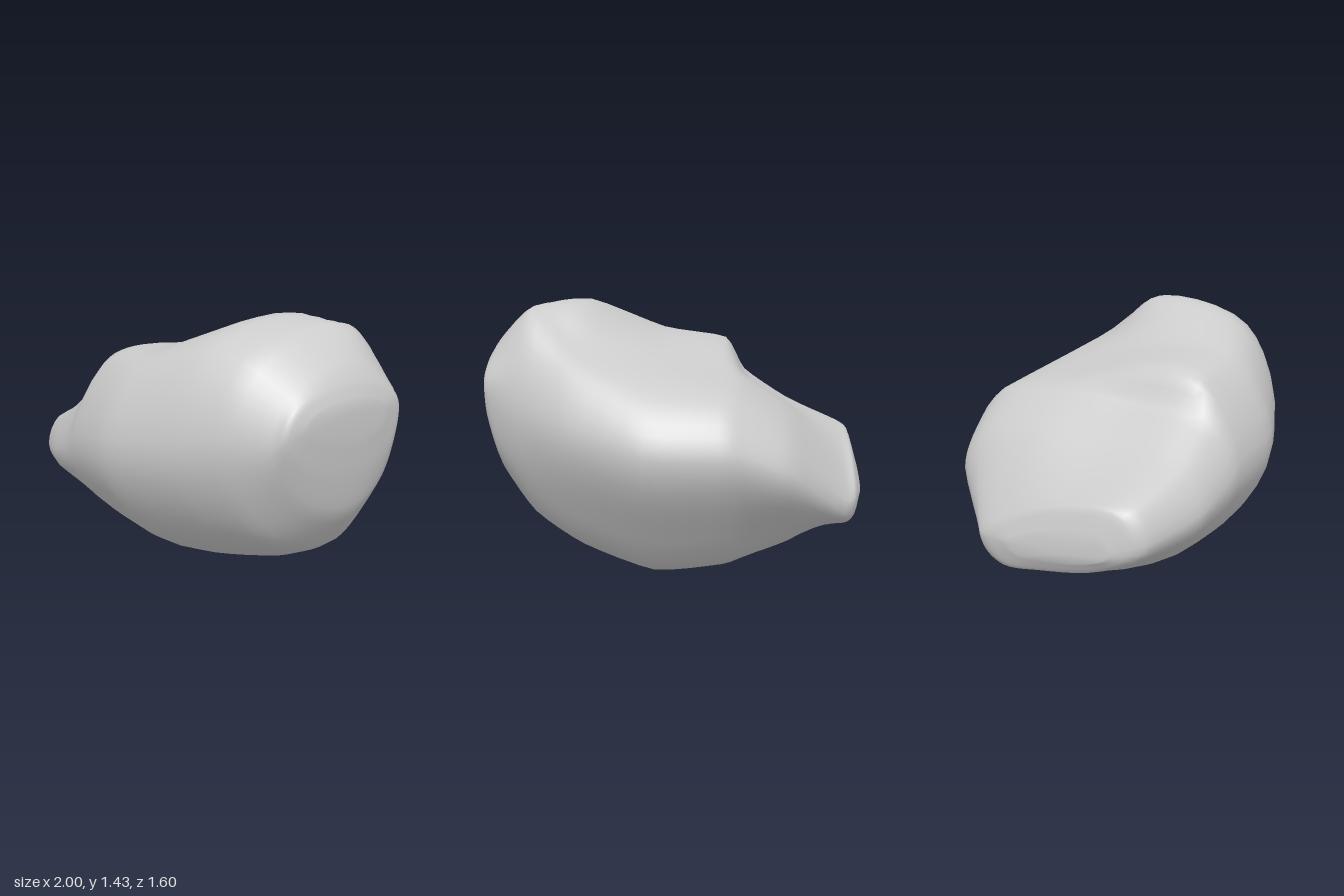
import * as THREE from 'three';

// Cross-sections along x, each a loop of [z, y] points:
// bottom, lower front, front, front shoulder, top, step, back shoulder, back
const SECTIONS = [
  { x: -0.89, loop: [[0.02, 0.28], [0.4, 0.35], [0.61, 0.48], [0.54, 0.67], [0.2, 0.67], [-0.1, 0.58], [-0.33, 0.43], [-0.31, 0.34]] },
  { x: -0.6, loop: [[-0.12, 0.14], [0.4, 0.28], [0.72, 0.53], [0.61, 0.78], [0.2, 0.84], [-0.2, 0.87], [-0.54, 0.77], [-0.64, 0.6]] },
  { x: -0.36, loop: [[-0.2, 0.06], [0.43, 0.22], [0.76, 0.61], [0.61, 0.94], [0.2, 1.0], [-0.2, 1.03], [-0.6, 0.93], [-0.74, 0.7]] },
  { x: -0.25, loop: [[-0.23, 0.03], [0.46, 0.22], [0.775, 0.66], [0.58, 1.11], [0.38, 1.18], [-0.2, 1.07], [-0.62, 0.97], [-0.77, 0.72]] },
  { x: 0.1, loop: [[-0.27, 0.005], [0.48, 0.23], [0.795, 0.73], [0.6, 1.17], [0.25, 1.24], [-0.28, 1.14], [-0.65, 0.99], [-0.8, 0.73]] },
  { x: 0.48, loop: [[-0.24, 0.13], [0.34, 0.28], [0.67, 0.78], [0.47, 1.29], [-0.07, 1.41], [-0.32, 1.23], [-0.52, 1.1], [-0.66, 0.8]] },
  { x: 0.74, loop: [[-0.18, 0.28], [0.27, 0.38], [0.54, 0.85], [0.39, 1.25], [-0.06, 1.39], [-0.24, 1.36], [-0.42, 1.12], [-0.49, 0.83]] },
  { x: 0.91, loop: [[-0.12, 0.5], [0.18, 0.57], [0.4, 0.87], [0.3, 1.13], [0, 1.24], [-0.2, 1.21], [-0.36, 1.06], [-0.375, 0.87]] },
];
const AROUND = 45;
const ALONG = 44;

// A closed smooth ring through one section, with the undercut back added
function ring({ x, loop }) {
  const [z0, y0] = loop[0];
  const [z1, y1] = loop[loop.length - 1];
  const undercut = [(z0 + z1) / 2 - 0.06, (y0 + y1) / 2 - 0.04];
  const points = [...loop, undercut].map(([z, y]) => new THREE.Vector3(x, y, z));
  return new THREE.CatmullRomCurve3(points, true).getPoints(AROUND).slice(0, AROUND);
}

// A ring shrunk towards the tip, to round off an end
function shrink(source, tip, x, scaleY, scaleZ) {
  return source.map((p) => new THREE.Vector3(
    x,
    THREE.MathUtils.lerp(tip.y, p.y, scaleY),
    THREE.MathUtils.lerp(tip.z, p.z, scaleZ),
  ));
}

function boulderGeometry() {
  const rings = SECTIONS.map(ring);
  const leftTip = new THREE.Vector3(-1, 0.43, 0.22);
  const rightTip = new THREE.Vector3(1, 1.03, 0.02);
  const first = rings[0];
  const last = rings[rings.length - 1];
  rings.unshift(shrink(first, leftTip, -0.99, 0.35, 0.55), shrink(first, leftTip, -0.953, 0.85, 0.83));
  rings.push(shrink(last, rightTip, 0.965, 0.6, 0.9), shrink(last, rightTip, 0.992, 0.25, 0.6));

  // Fairly taut lines running lengthwise through the rings
  const lines = [];
  for (let j = 0; j < AROUND; j++) {
    const path = new THREE.CatmullRomCurve3(rings.map((r) => r[j]), false, 'catmullrom', 0.3);
    lines.push(path.getPoints(ALONG));
  }

  const positions = [];
  const indices = [];
  for (let i = 0; i <= ALONG; i++) {
    for (let j = 0; j < AROUND; j++) positions.push(...lines[j][i].toArray());
  }
  const id = (i, j) => i * AROUND + (j % AROUND);
  for (let i = 0; i < ALONG; i++) {
    for (let j = 0; j < AROUND; j++) {
      indices.push(id(i, j), id(i + 1, j), id(i, j + 1));
      indices.push(id(i + 1, j), id(i + 1, j + 1), id(i, j + 1));
    }
  }

  // Close both ends
  const leftId = positions.length / 3;
  positions.push(...leftTip.toArray(), ...rightTip.toArray());
  for (let j = 0; j < AROUND; j++) {
    indices.push(leftId, id(0, j), id(0, j + 1));
    indices.push(leftId + 1, id(ALONG, j + 1), id(ALONG, j));
  }

  const geometry = new THREE.BufferGeometry();
  geometry.setAttribute('position', new THREE.Float32BufferAttribute(positions, 3));
  geometry.setIndex(indices);
  geometry.computeVertexNormals();
  return geometry;
}

export function createModel() {
  const group = new THREE.Group();
  group.name = 'rock';
  const boulder = new THREE.Mesh(boulderGeometry(), new THREE.MeshStandardMaterial({ color: 0xcccccc }));
  boulder.name = 'boulder';
  group.add(boulder);
  return group;
}
